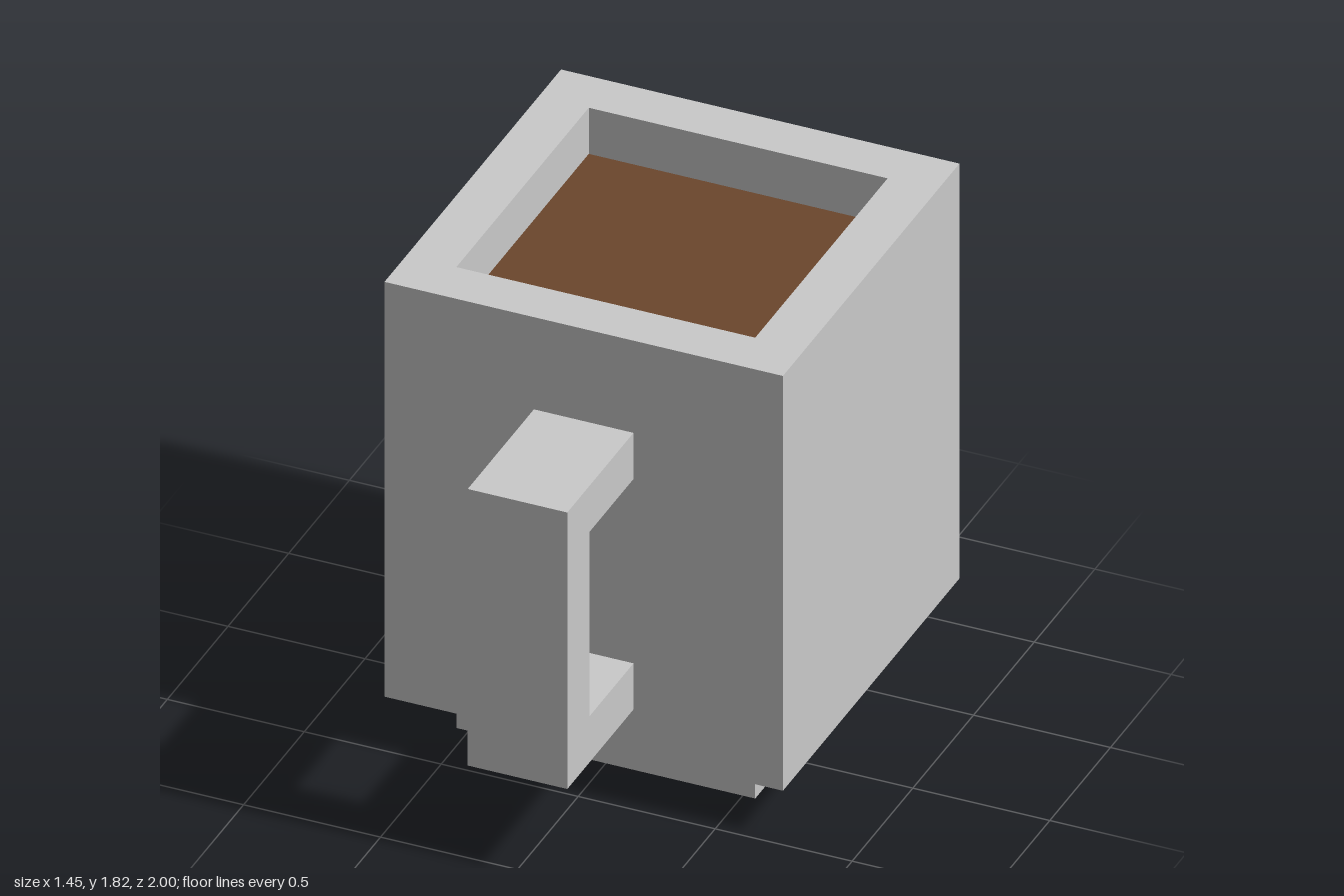
import * as THREE from 'three';

const U = 2 / 11; // the whole mug is laid out on a grid of this step

const ceramic = new THREE.MeshStandardMaterial({ name: 'grey ceramic', color: 0xc9c9c9 });
const coffeeBrown = new THREE.MeshStandardMaterial({ name: 'coffee brown', color: 0x6b462c });

// Corners of a centred square, in grid steps
const square = (half) => [[-half, -half], [half, -half], [half, half], [-half, half]];
const toPoints = (list) => list.map(([x, y]) => new THREE.Vector2(x * U, y * U));

function extrude(shape, depth) {
  return new THREE.ExtrudeGeometry(shape, { depth: depth * U, bevelEnabled: false });
}

function addPart(parent, name, geometry, material) {
  const mesh = new THREE.Mesh(geometry, material);
  mesh.name = name;
  parent.add(mesh);
  return mesh;
}

export function createModel() {
  const mug = new THREE.Group();
  mug.name = 'mug';
  const centreZ = -1.5 * U; // the cup sits back to make room for the handle

  // Square cup wall, open through the middle
  const wallShape = new THREE.Shape(toPoints(square(4)));
  wallShape.holes.push(new THREE.Path(toPoints(square(3))));
  const wall = extrude(wallShape, 9).rotateX(-Math.PI / 2);
  addPart(mug, 'cupWall', wall, ceramic).position.set(0, U, centreZ);

  // Foot, which also closes the bottom of the cup
  const foot = new THREE.BoxGeometry(6 * U, U, 6 * U);
  addPart(mug, 'foot', foot, ceramic).position.set(0, U / 2, centreZ);

  // Coffee surface, one step below the rim
  const coffee = new THREE.PlaneGeometry(6 * U, 6 * U).rotateX(-Math.PI / 2);
  addPart(mug, 'coffee', coffee, coffeeBrown).position.set(0, 9 * U, centreZ);

  // Square-cornered handle: profile in (z, y), extruded across x
  const handleShape = new THREE.Shape(toPoints([
    [2.5, 2], [5.5, 2], [5.5, 8], [2.5, 8],
    [2.5, 7], [4.5, 7], [4.5, 3], [2.5, 3],
  ]));
  const handle = extrude(handleShape, 2).rotateY(-Math.PI / 2);
  addPart(mug, 'handle', handle, ceramic).position.x = U;

  return mug;
}
